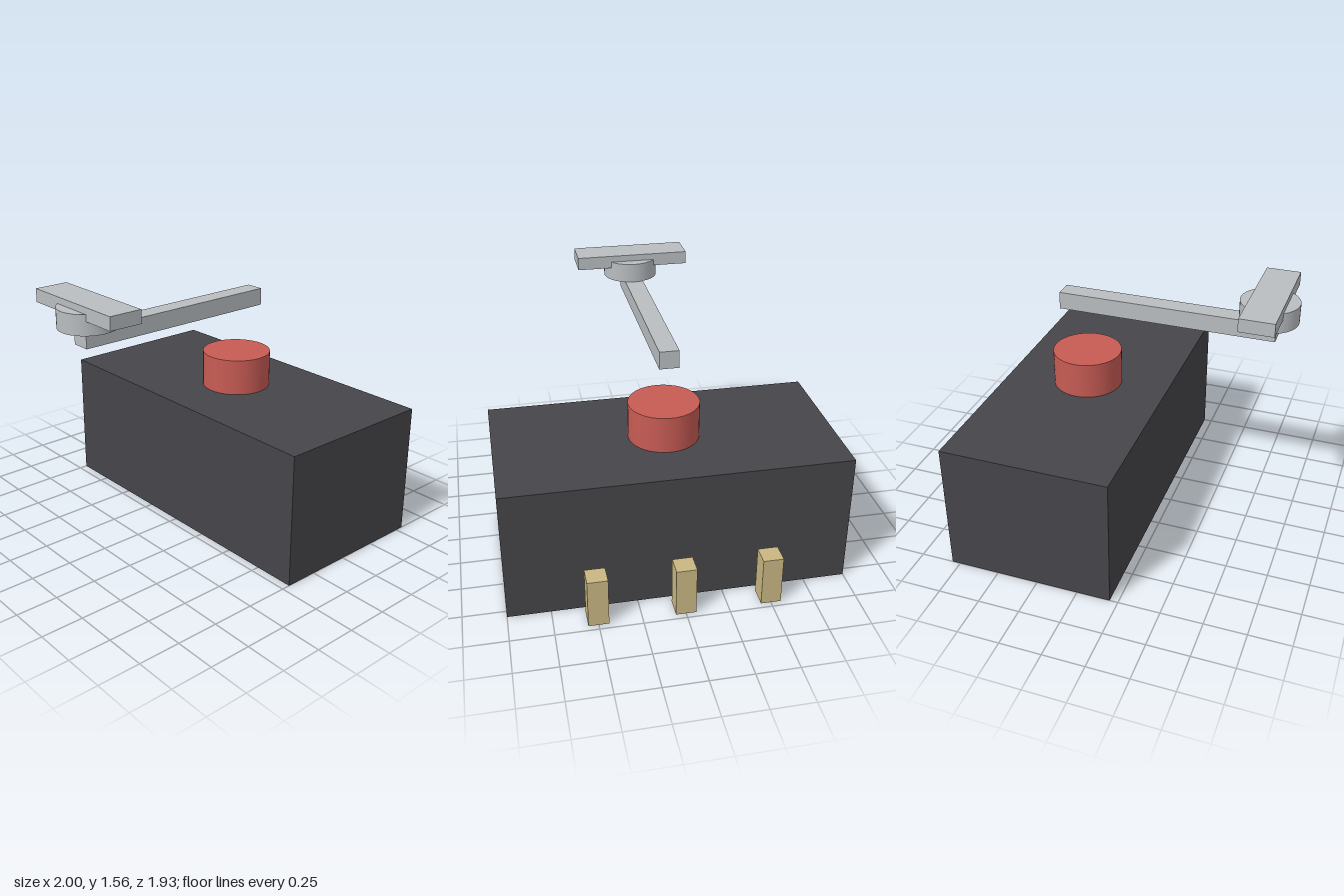
import * as THREE from 'three';

function material(name, color) {
  const m = new THREE.MeshStandardMaterial({ color });
  m.name = name;
  return m;
}

export function createModel() {
  const model = new THREE.Group();
  model.name = 'leverSwitch';

  const charcoal = material('charcoal', 0x45454a);
  const red = material('red', 0xc75b54);
  const steel = material('steel', 0xb9bdc0);
  const brass = material('brass', 0xc9b682);

  // Each part is placed by the height of its underside
  const add = (name, geometry, mat, x, bottom, z) => {
    geometry.computeBoundingBox();
    const mesh = new THREE.Mesh(geometry, mat);
    mesh.name = name;
    mesh.position.set(x, bottom - geometry.boundingBox.min.y, z);
    model.add(mesh);
  };

  // Housing and push button
  add('housing', new THREE.BoxGeometry(2, 0.8, 1), charcoal, 0, 0, -0.3);
  add('button', new THREE.CylinderGeometry(0.209, 0.209, 0.22, 48), red, 0, 0.8, -0.304);

  // Lever arm with its hub and cross bar
  add('leverArm', new THREE.BoxGeometry(0.113, 0.104, 1.3), steel, 0, 1.298, 0.199);
  add('leverHub', new THREE.CylinderGeometry(0.169, 0.169, 0.118, 48), steel, 0, 1.402, 0.796);
  add('crossBar', new THREE.BoxGeometry(0.7, 0.078, 0.2), steel, 0, 1.481, 0.796);

  // Three terminal pins behind the housing
  for (const x of [-0.5, 0, 0.5]) {
    add('terminalPin', new THREE.BoxGeometry(0.118, 0.3, 0.118), brass, x, 0, -0.905);
  }

  return model;
}
